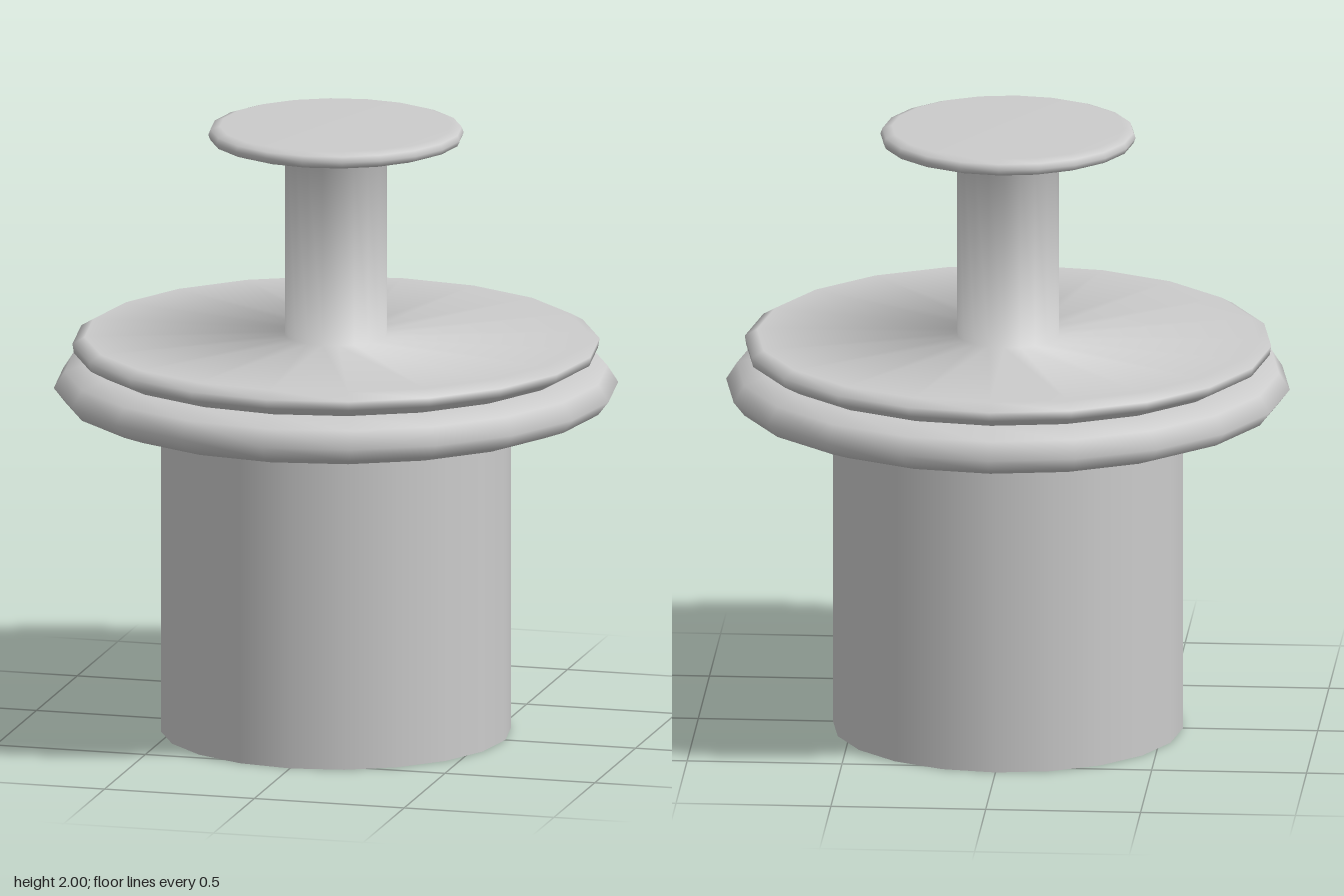
import * as THREE from 'three';

const SIDES = 20;
const material = new THREE.MeshStandardMaterial({ color: 0xcccccc });

// Smooth turned part from [radius, height] pairs, listed bottom to top
function turned(name, profile) {
  const points = profile.map(([r, y]) => new THREE.Vector2(r, y));
  const mesh = new THREE.Mesh(new THREE.LatheGeometry(points, SIDES), material);
  mesh.name = name;
  return mesh;
}

export function createModel() {
  const model = new THREE.Group();
  model.name = 'stopper';

  // Plain cylindrical plug, standing on the ground
  const plug = new THREE.Mesh(new THREE.CylinderGeometry(0.565, 0.565, 1.06, SIDES), material);
  plug.name = 'plug';
  plug.position.y = 0.53;
  model.add(plug);

  // Wide rounded rim
  model.add(turned('rim', [
    [0, 1.055], [0.56, 1.055], [0.8, 1.067], [0.875, 1.095], [0.91, 1.14],
    [0.875, 1.195], [0.8, 1.22], [0.7, 1.22], [0, 1.22],
  ]));

  // Bevelled lid flowing into the stem and the flat knob
  model.add(turned('lidAndHandle', [
    [0, 1.21], [0.74, 1.21], [0.79, 1.225], [0.845, 1.255], [0.85, 1.285], [0.81, 1.308],
    [0.165, 1.308], [0.165, 1.945],
    [0.375, 1.945], [0.405, 1.955], [0.412, 1.972], [0.405, 1.99], [0.375, 2], [0, 2],
  ]));

  return model;
}
